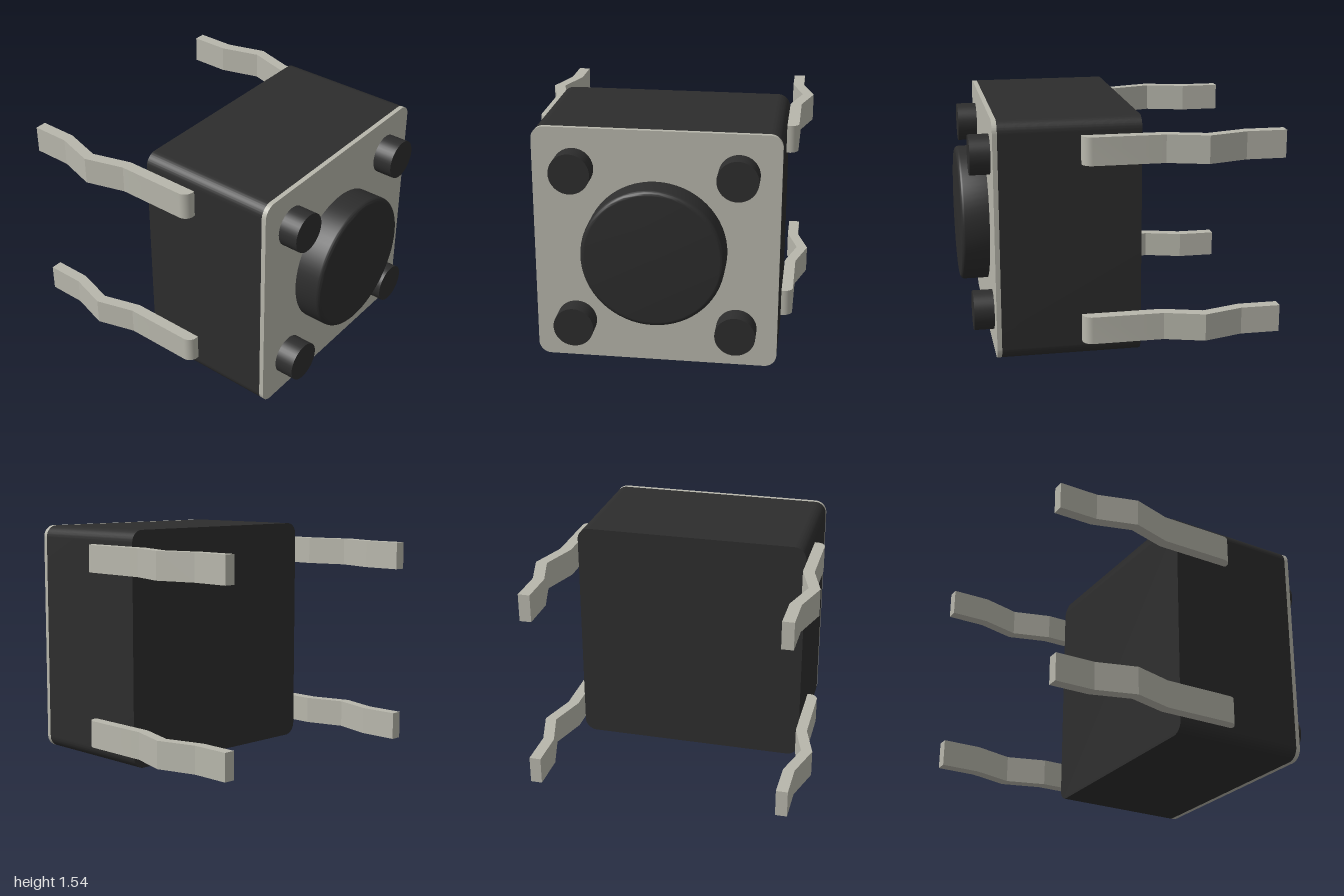
import * as THREE from 'three';
import { toCreasedNormals } from 'three/addons/utils/BufferGeometryUtils.js';

const MID_Y = 0.77;

// Square with rounded corners, centred on the origin
function roundedSquare(half, r) {
  const s = new THREE.Shape();
  const c = half - r;
  s.absarc(c, c, r, 0, Math.PI / 2);
  s.absarc(-c, c, r, Math.PI / 2, Math.PI);
  s.absarc(-c, -c, r, Math.PI, Math.PI * 1.5);
  s.absarc(c, -c, r, Math.PI * 1.5, Math.PI * 2);
  s.closePath();
  return s;
}

function extrude(shape, depth) {
  const geo = new THREE.ExtrudeGeometry(shape, { depth, bevelEnabled: false, curveSegments: 10 });
  return toCreasedNormals(geo, 0.22);
}

// Kinked pin outline seen from above: x sideways, shape y = -z
function pinShape(side) {
  const pts = [
    [0.75, -0.28], [0.77, -0.28], [0.785, -0.28],
  ];
  // rounded outer corner at the front
  for (let i = 1; i <= 8; i++) {
    const a = (i / 8) * Math.PI / 2;
    pts.push([0.785 + 0.06 * Math.sin(a), -0.22 - 0.06 * Math.cos(a)]);
  }
  pts.push([0.845, 0.235], [0.92, 0.49], [0.845, 0.745], [0.845, 1]);
  pts.push([0.77, 1], [0.77, 0.745], [0.845, 0.49], [0.77, 0.235], [0.77, 0], [0.75, 0]);
  return new THREE.Shape(pts.map(([x, y]) => new THREE.Vector2(side * x, y)));
}

export function createModel() {
  const group = new THREE.Group();
  const black = new THREE.MeshStandardMaterial({ color: 0x2d2d2d });
  black.name = 'black plastic';
  const metal = new THREE.MeshStandardMaterial({ color: 0xb8b7ac });
  metal.name = 'grey metal';

  const add = (name, geo, mat, x, y, z) => {
    const mesh = new THREE.Mesh(geo, mat);
    mesh.name = name;
    mesh.position.set(x, y, z);
    group.add(mesh);
  };

  // Housing and its metal front plate
  const outline = roundedSquare(0.77, 0.08);
  add('housing', extrude(outline, 0.89), black, 0, MID_Y, -0.1);
  add('coverPlate', extrude(outline, 0.03), metal, 0, MID_Y, 0.79);

  // Round push button with a softened rim
  const profile = [new THREE.Vector2(0.447, 0)];
  for (let i = 0; i <= 8; i++) {
    const a = (i / 8) * Math.PI / 2;
    profile.push(new THREE.Vector2(0.417 + 0.03 * Math.cos(a), 0.17 + 0.03 * Math.sin(a)));
  }
  profile.push(new THREE.Vector2(0, 0.2));
  const button = new THREE.LatheGeometry(profile, 64).rotateX(Math.PI / 2);
  add('button', toCreasedNormals(button, 0.5), black, 0, MID_Y, 0.8);

  // Corner pegs and pins
  const peg = new THREE.CylinderGeometry(0.128, 0.128, 0.15, 40).rotateX(Math.PI / 2);
  for (const side of [-1, 1]) {
    const sideName = side > 0 ? 'Left' : 'Right';
    const pin = extrude(pinShape(side), 0.178).rotateX(-Math.PI / 2);
    for (const level of [-1, 1]) {
      const levelName = level > 0 ? 'upper' : 'lower';
      add(levelName + sideName + 'Peg', peg, black, side * 0.512, MID_Y + level * 0.513, 0.873);
      add(levelName + sideName + 'Pin', pin, metal, 0, MID_Y + level * 0.578 - 0.089, 0);
    }
  }
  return group;
}
